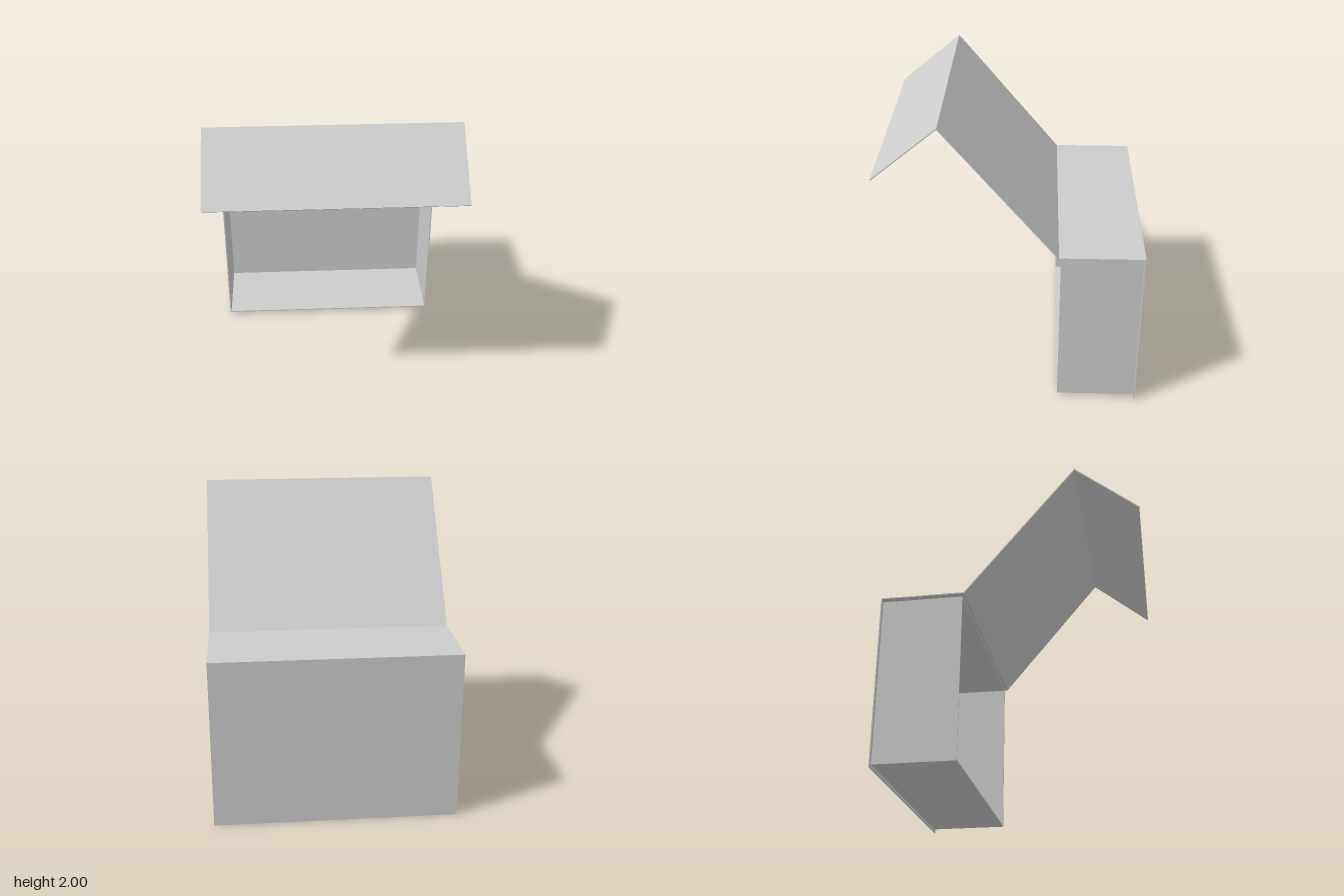
import * as THREE from 'three';

const card = new THREE.MeshStandardMaterial({ color: 0xcccccc });
card.name = 'light grey card';

// Offsets an open (z, y) path to its right-hand side with mitred corners
function offsetPath(path, t) {
  const normal = (a, b) => new THREE.Vector2(b.y - a.y, a.x - b.x).normalize();
  return path.map((p, i) => {
    const n1 = normal(path[Math.max(i - 1, 0)], path[Math.max(i, 1)]);
    const last = path.length - 1;
    const n2 = normal(path[Math.min(i, last - 1)], path[Math.min(i + 1, last)]);
    const m = n1.clone().add(n2);
    return p.clone().addScaledVector(m, (2 * t) / m.lengthSq());
  });
}

export function createModel() {
  const group = new THREE.Group();
  group.name = 'openBox';

  // Folded cover: back panel, top panel, raised lid and front flap in one sheet
  const outer = [[-0.836, 0], [-0.836, 1.128], [-0.297, 1.128], [0.425, 2], [0.836, 1.66]]
    .map(([z, y]) => new THREE.Vector2(z, y));
  const inner = offsetPath(outer, 0.007);
  const shape = new THREE.Shape([...outer, ...inner.reverse()]);
  const width = 1.586;
  const sheet = new THREE.ExtrudeGeometry(shape, { depth: width, bevelEnabled: false });
  sheet.translate(0, 0, -width / 2).rotateY(-Math.PI / 2);
  const cover = new THREE.Mesh(sheet, card);
  cover.name = 'foldedCover';
  group.add(cover);

  // Open-fronted tray fixed to the back panel
  const tray = new THREE.Group();
  tray.name = 'tray';
  group.add(tray);
  const wall = (name, w, h, d, x, y, z) => {
    const mesh = new THREE.Mesh(new THREE.BoxGeometry(w, h, d), card);
    mesh.name = name;
    mesh.position.set(x, y, z);
    tray.add(mesh);
  };
  const t = 0.008, front = -0.31, back = -0.828, bottom = 0.022, top = 1.113, half = 0.766;
  const depth = front - back, midZ = (front + back) / 2, midY = (top + bottom) / 2;
  for (const s of [-1, 1]) {
    wall(s > 0 ? 'leftWall' : 'rightWall', t, top - bottom, depth, s * (half - t / 2), midY, midZ);
  }
  wall('trayFloor', 2 * (half - t), t, depth, 0, bottom + t / 2, midZ);
  wall('trayCeiling', 2 * (half - t), t, depth, 0, top - t / 2, midZ);
  wall('trayBack', 2 * (half - t), top - bottom - 2 * t, t, 0, midY, back + t / 2);

  return group;
}
